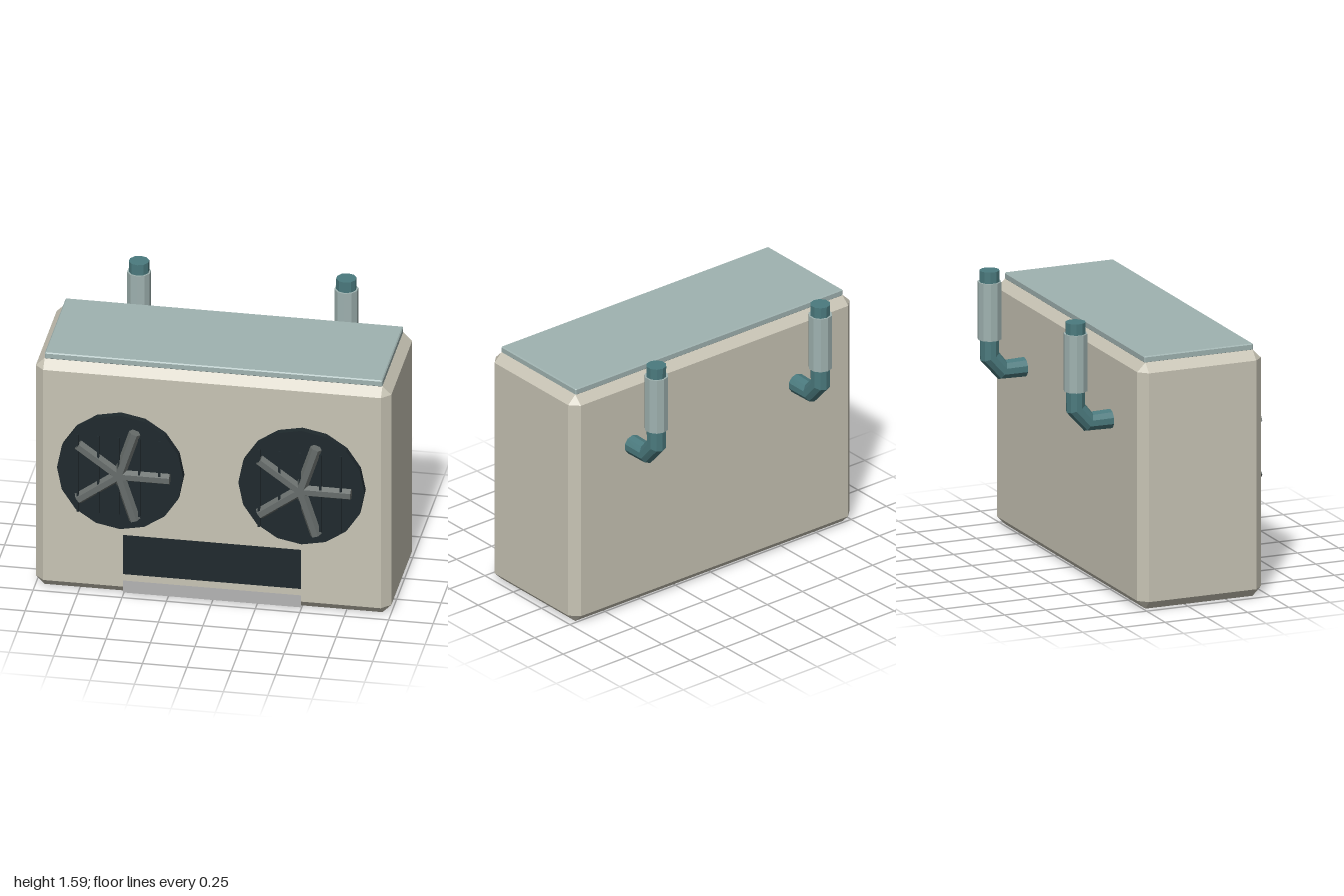
import * as THREE from 'three';
import { ConvexGeometry } from 'three/addons/geometries/ConvexGeometry.js';

const material = (color) => new THREE.MeshStandardMaterial({ color, flatShading: true });
const cream = material(0xc8c4b5);
const paleTeal = material(0x9fb2b0);
const teal = material(0x4b7a7e);
const dark = material(0x1f292d);
const steel = material(0x676d6b);
const grey = material(0xb4b4b4);
dark.side = grey.side = THREE.DoubleSide;

function add(parent, name, geometry, mat, x = 0, y = 0, z = 0) {
  const mesh = new THREE.Mesh(geometry, mat);
  mesh.name = name;
  mesh.position.set(x, y, z);
  parent.add(mesh);
  return mesh;
}

// Box whose twelve edges are cut by a chamfer c
function chamferBox(w, h, d, c) {
  const points = [];
  for (const sx of [-1, 1]) for (const sy of [-1, 1]) for (const sz of [-1, 1]) {
    for (let axis = 0; axis < 3; axis++) {
      const inset = [c, c, c];
      inset[axis] = 0;
      points.push(new THREE.Vector3(
        sx * (w / 2 - inset[0]), sy * (h / 2 - inset[1]), sz * (d / 2 - inset[2])));
    }
  }
  return new ConvexGeometry(points);
}

// Cylinder whose rings are moved along a bend: out of the back, then upward
function bentPipe(radius) {
  const rings = [ // y, z, direction in degrees (0 = backward, 90 = up)
    [1.005, -0.27, 0], [1.005, -0.42, 22.5], [1.09, -0.495, 67.5], [1.585, -0.495, 90],
  ];
  const geometry = new THREE.CylinderGeometry(radius, radius, 3, 10, 3);
  const p = geometry.attributes.position;
  for (let i = 0; i < p.count; i++) {
    const [y, z, degrees] = rings[Math.round(p.getY(i) + 1.5)];
    const a = THREE.MathUtils.degToRad(degrees);
    const r = p.getZ(i);
    p.setXYZ(i, p.getX(i), y + Math.cos(a) * r, z + Math.sin(a) * r);
  }
  geometry.computeVertexNormals();
  return geometry;
}

function createFan(x) {
  const fan = new THREE.Group();
  fan.name = 'fan';
  fan.position.set(x, 0.785, 0);

  const disc = new THREE.CylinderGeometry(0.355, 0.355, 0.05, 16).rotateX(Math.PI / 2);
  add(fan, 'fanDisc', disc, dark, 0, 0, 0.48);

  // Five six-sided blades
  for (let i = 0; i < 5; i++) {
    const blade = new THREE.CylinderGeometry(0.033, 0.033, 0.285, 6)
      .rotateY(Math.PI / 6)
      .translate(0, 0.1425, 0)
      .rotateZ(-Math.PI / 2 + i * Math.PI * 2 / 5);
    // keep the flat sides facing forward
    add(fan, 'fanBlade', blade, steel, 0, 0, 0.535);
  }

  // Thin upright guard bars
  for (let i = -2; i <= 2; i++) {
    add(fan, 'guardBar', new THREE.BoxGeometry(0.012, 0.48, 0.012), dark, i * 0.115, 0, 0.552);
  }
  return fan;
}

export function createModel() {
  const model = new THREE.Group();
  model.name = 'outdoorUnit';

  // Casing and lid
  add(model, 'casing', chamferBox(2, 1.415, 0.75, 0.05), cream, 0, 0.7075, 0.09);
  add(model, 'lid', chamferBox(1.9, 0.04, 0.66, 0.006), paleTeal, 0, 1.43, 0.09);

  // Front panel and kick strip
  add(model, 'frontPanel', new THREE.PlaneGeometry(1, 0.245), dark, 0, 0.253, 0.468);
  add(model, 'kickStrip', new THREE.PlaneGeometry(1, 0.075), grey, 0, 0.053, 0.468);

  for (const side of [-1, 1]) {
    model.add(createFan(side * 0.51));

    // Rear pipe with its sleeve
    add(model, 'pipe', bentPipe(0.057), teal, side * 0.583);
    const sleeve = new THREE.CylinderGeometry(0.067, 0.067, 0.33, 10);
    add(model, 'pipeSleeve', sleeve, paleTeal, side * 0.583, 1.355, -0.495);
  }
  return model;
}
